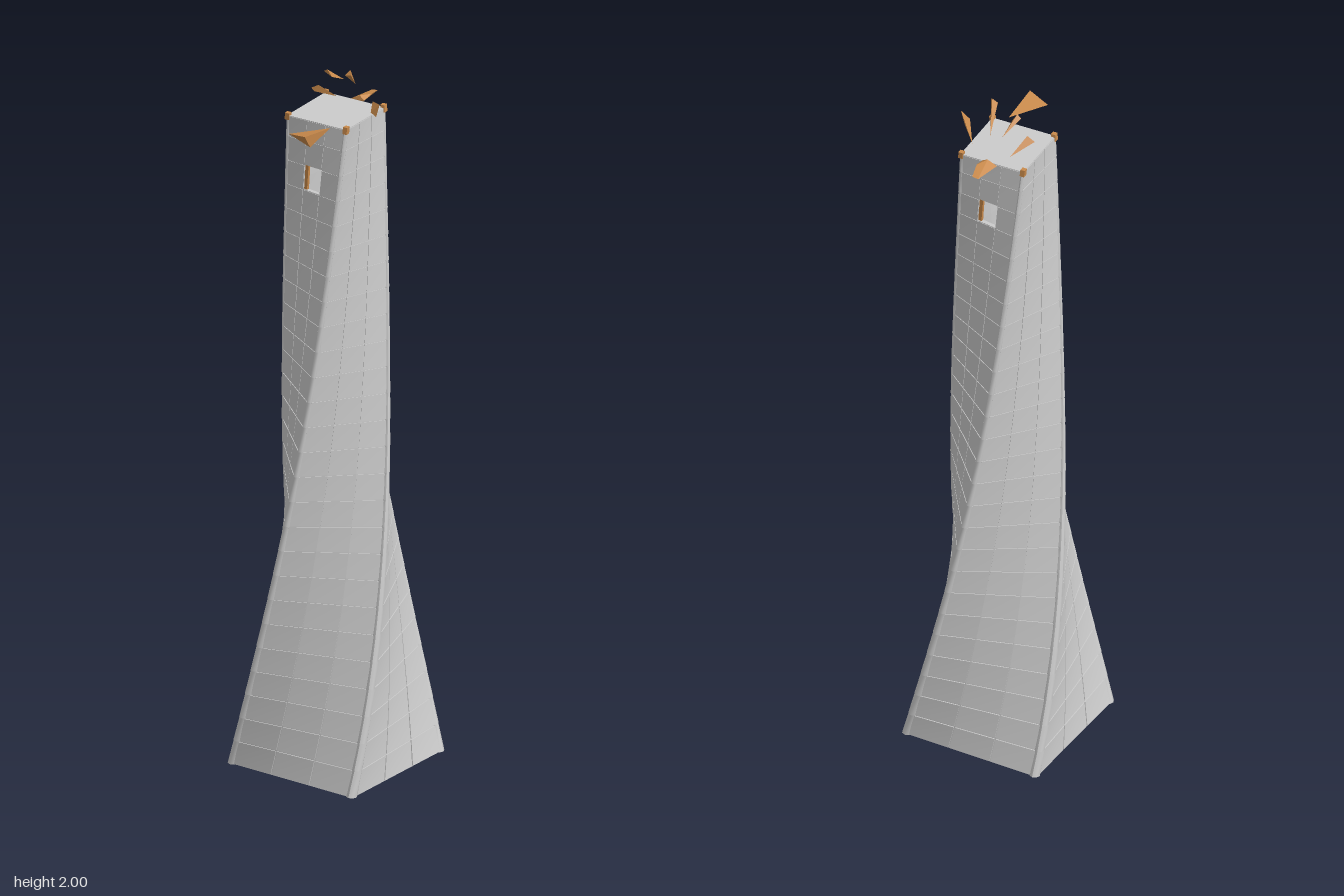
import * as THREE from 'three';
import { mergeGeometries } from 'three/addons/utils/BufferGeometryUtils.js';
import { ConvexGeometry } from 'three/addons/geometries/ConvexGeometry.js';

const H = 1.868;            // tower height
const COURSE = 0.0723;      // height of one course of panels
const COURSES = 26;
const TWIST = THREE.MathUtils.degToRad(93.3);
const CENTER_Z = -0.008;
const WINDOW_COURSE = 23;

const grey = new THREE.MeshStandardMaterial({ color: 0xcccccc });
const copper = new THREE.MeshStandardMaterial({ color: 0xc98a4b });

// Half width of the tower: flared foot, nearly straight top
const halfWidth = (t) => 0.094 + 0.11 * (1 - t) ** 2;

// Turns a straight tower (x and z in half widths, y in units) into the twisted, tapered one
function warp(geometry) {
  const p = geometry.attributes.position;
  const v = new THREE.Vector3();
  const up = new THREE.Vector3(0, 1, 0);
  for (let i = 0; i < p.count; i++) {
    v.fromBufferAttribute(p, i);
    const t = v.y / H;
    const s = halfWidth(Math.min(Math.max(t, 0), 1));
    v.x *= s;
    v.z *= s;
    v.applyAxisAngle(up, TWIST * t);
    p.setXYZ(i, v.x, v.y, v.z + CENTER_Z);
  }
  geometry.computeVertexNormals();
  return geometry;
}

// Box between two corners, turned to tower side k, then warped
function block(x0, x1, y0, y1, z0, z1, k = 0) {
  const g = new THREE.BoxGeometry(x1 - x0, y1 - y0, z1 - z0);
  g.translate((x0 + x1) / 2, (y0 + y1) / 2, (z0 + z1) / 2);
  g.rotateY(k * Math.PI / 2);
  return warp(g);
}

function addMesh(group, name, geometry, material) {
  const mesh = new THREE.Mesh(geometry, material);
  mesh.name = name;
  group.add(mesh);
  return mesh;
}

export function createModel() {
  const model = new THREE.Group();
  model.name = 'twistedTower';

  // Hollow walls, raised panels and corner posts, course by course
  const walls = [], panels = [], posts = [];
  for (let i = 0; i < COURSES; i++) {
    const y0 = i * COURSE;
    const y1 = Math.min(y0 + COURSE, H);
    const gap = 0.002;
    for (let k = 0; k < 4; k++) {
      for (let c = 0; c < 3; c++) {
        const isWindow = i === WINDOW_COURSE && c === 1 && k % 2 === 1;
        if (isWindow) continue;
        const x0 = -0.93 + c * 0.62;
        const x1 = x0 + 0.62;
        walls.push(block(x0, x1, y0, y1, 0.88, 1, k));
        panels.push(block(x0 + 0.01, x1 - 0.01, y0 + gap, y1 - gap, 0.99, 1.015, k));
      }
      const post = new THREE.CylinderGeometry(0.07, 0.075, y1 - y0, 8);
      post.translate(0.96, (y0 + y1) / 2, 0.96);
      post.rotateY(k * Math.PI / 2);
      posts.push(warp(post));
    }
  }
  addMesh(model, 'walls', mergeGeometries(walls), grey);
  addMesh(model, 'wallPanels', mergeGeometries(panels), grey);
  addMesh(model, 'cornerPosts', mergeGeometries(posts), grey);

  // Floor and roof slabs
  addMesh(model, 'floorSlab', block(-1, 1, 0, 0.01, -1, 1), grey);
  addMesh(model, 'roofSlab', block(-0.98, 0.98, H - 0.012, H, -0.98, 0.98), grey);

  // Copper strip at one side of each window
  const y = WINDOW_COURSE * COURSE;
  const jambs = [1, 3].map((k) => block(-0.31, -0.2, y, y + COURSE, 0.89, 0.97, k));
  addMesh(model, 'windowJambs', mergeGeometries(jambs), copper);

  // Copper caps on the roof corners
  const caps = [0, 1, 2, 3].map((k) =>
    block(0.91, 1.05, H - 0.012, H + 0.008, 0.91, 1.05, k));
  addMesh(model, 'cornerCaps', mergeGeometries(caps), copper);

  // Copper shards floating round the roof: tip first, then the broad end
  const shards = [
    [[0.06, 1.87, 0.10], [-0.003, 1.872, 0.2], [0.063, 1.885, 0.218], [0.06, 1.845, 0.19]],
    [[0.07, 1.89, -0.077], [0.148, 1.925, -0.003], [0.125, 1.9, 0.006], [0.135, 1.885, -0.005]],
    [[0.019, 1.93, -0.07], [0.06, 1.99, 0.006], [0.038, 1.985, 0.004], [0.05, 2.0, -0.005]],
    [[-0.017, 1.935, -0.068], [-0.043, 1.972, -0.012], [-0.018, 1.96, -0.014], [-0.03, 1.98, -0.01]],
    [[-0.041, 1.88, -0.068], [-0.086, 1.912, -0.014], [-0.064, 1.925, -0.016], [-0.075, 1.905, -0.012]],
    [[-0.01, 1.868, -0.185], [0.008, 1.87, -0.185], [0.02, 1.878, -0.14], [-0.022, 1.866, -0.105],
      [0.022, 1.87, -0.105], [0, 1.85, -0.108], [0.005, 1.88, -0.108]],
  ];
  const shardGroup = new THREE.Group();
  shardGroup.name = 'shards';
  for (const points of shards) {
    const g = new ConvexGeometry(points.map((p) => new THREE.Vector3(...p)));
    addMesh(shardGroup, 'shard', g, copper);
  }
  model.add(shardGroup);
  return model;
}
